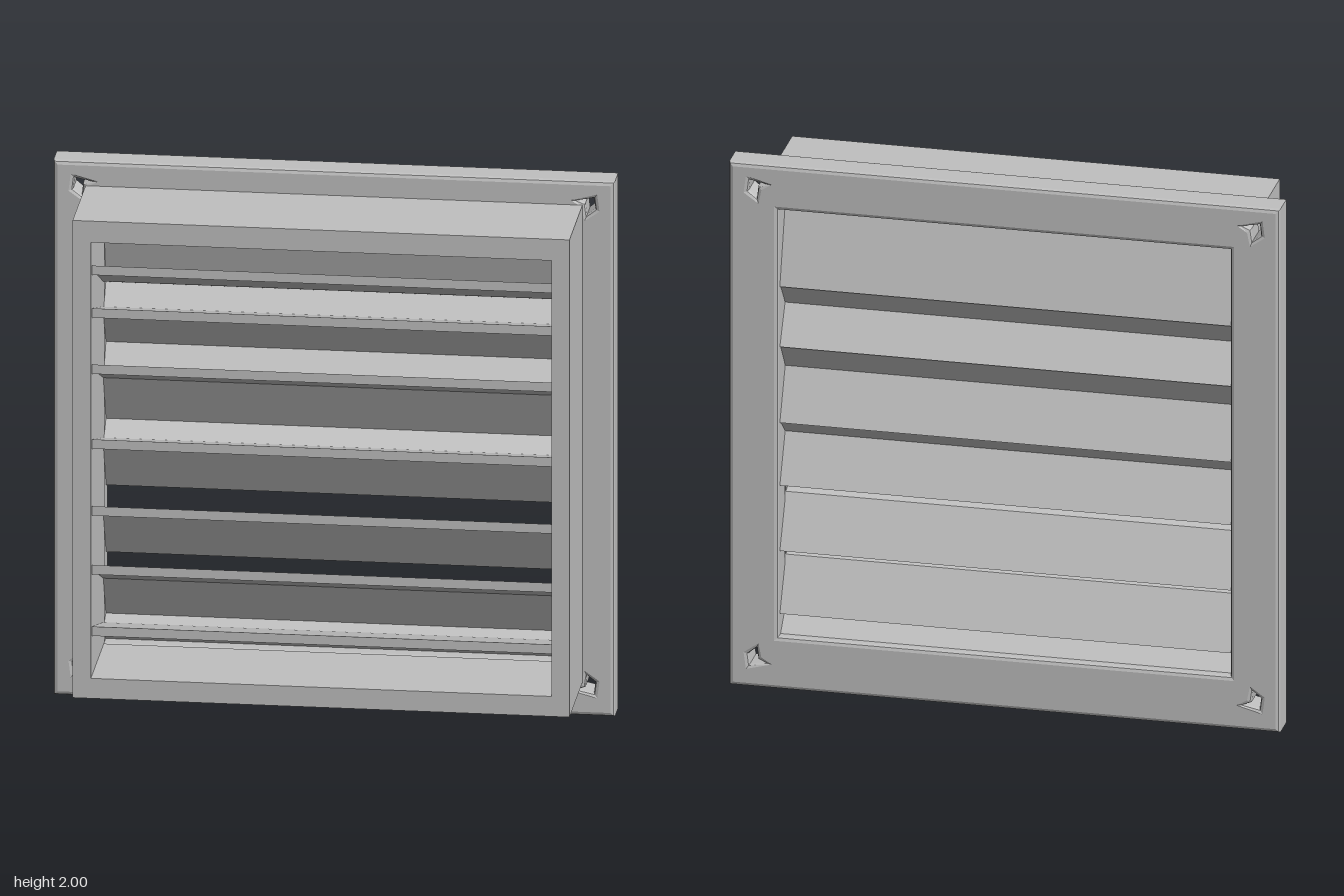
import * as THREE from 'three';

const grey = new THREE.MeshStandardMaterial({ color: 0xbfbfbf });
grey.name = 'greyPlastic';

const OPEN = { x: 0.82, bottom: 0.2, top: 1.83 };

function polygon(points, Type = THREE.Shape) {
  return new Type(points.map(([x, y]) => new THREE.Vector2(x, y)));
}

function rectangle(x, bottom, top, Type) {
  return polygon([[-x, bottom], [x, bottom], [x, top], [-x, top]], Type);
}

function addMesh(group, name, geometry) {
  const mesh = new THREE.Mesh(geometry, grey);
  mesh.name = name;
  group.add(mesh);
}

// Extrudes a (z, y) profile across the opening along x
function acrossOpening(points) {
  const width = 2 * OPEN.x + 0.01;
  const geometry = new THREE.ExtrudeGeometry(polygon(points), { depth: width, bevelEnabled: false });
  return geometry.translate(0, 0, -width / 2).rotateY(-Math.PI / 2);
}

export function createModel() {
  const model = new THREE.Group();
  model.name = 'louverVent';

  // Mounting flange with a small screw hole in each corner
  const plate = rectangle(1, 0, 2);
  plate.holes.push(rectangle(OPEN.x, OPEN.bottom, OPEN.top, THREE.Path));
  for (const side of [-1, 1]) {
    const corner = [[0.865, 0.925], [0.925, 0.935], [0.93, 0.895], [0.9, 0.87], [0.895, 0.915]];
    plate.holes.push(polygon(corner.map(([x, y]) => [side * x, 1 + y]), THREE.Path));
    plate.holes.push(polygon(corner.map(([x, y]) => [side * x, 1.02 - y]), THREE.Path));
  }
  const bevel = 0.015;
  const flange = new THREE.ExtrudeGeometry(plate, {
    depth: 0.12 - 2 * bevel, bevelThickness: bevel, bevelSize: bevel, bevelOffset: -bevel, bevelSegments: 2,
  });
  addMesh(model, 'flange', flange.translate(0, 0, -0.25 + bevel));

  // Rectangular duct collar at the front
  const collar = rectangle(0.885, 0.125, 1.91);
  collar.holes.push(rectangle(OPEN.x, OPEN.bottom, OPEN.top, THREE.Path));
  const duct = new THREE.ExtrudeGeometry(collar, { depth: 0.38, bevelEnabled: false });
  addMesh(model, 'duct', duct.translate(0, 0, -0.13));

  // Louver slats: front lip, sloping blade, and a slanted drip edge at the back
  const slats = new THREE.Group();
  slats.name = 'slats';
  model.add(slats);
  const rows = [
    { front: 1.73, kink: 1.58, foot: 1.53, sealed: true },
    { front: 1.57, kink: 1.46, foot: 1.3, sealed: true },
    { front: 1.36, kink: 1.22, foot: 1.01, sealed: true },
    { front: 1.08, kink: 0.97, foot: 0.77 },
    { front: 0.83, kink: 0.71, foot: 0.52 },
    { front: 0.61, kink: 0.47, foot: 0.28, sealed: true },
    { front: 0.38, kink: 0.28, foot: 0.19 },
  ];
  const t = 0.02;
  rows.forEach(({ front, kink, foot, sealed }, i) => {
    addMesh(slats, 'slat', acrossOpening([
      [0.21, front], [-0.13, kink], [-0.225, foot], [-0.2, foot],
      [-0.115, kink - t], [0.19, front - t - 0.005], [0.195, front - 0.035], [0.21, front - 0.035],
    ]));
    // Web joining the drip edge to the slat below
    if (sealed) {
      const next = rows[i + 1].kink;
      addMesh(slats, 'web', acrossOpening([
        [-0.215, foot], [-0.14, next - 0.025], [-0.125, next - 0.01], [-0.2, foot + 0.015],
      ]));
    }
  });

  // Closing panel above the top slat
  addMesh(model, 'topPanel', acrossOpening([[-0.225, 1.53], [-0.2, 1.53], [-0.11, 1.835], [-0.135, 1.835]]));

  return model;
}
